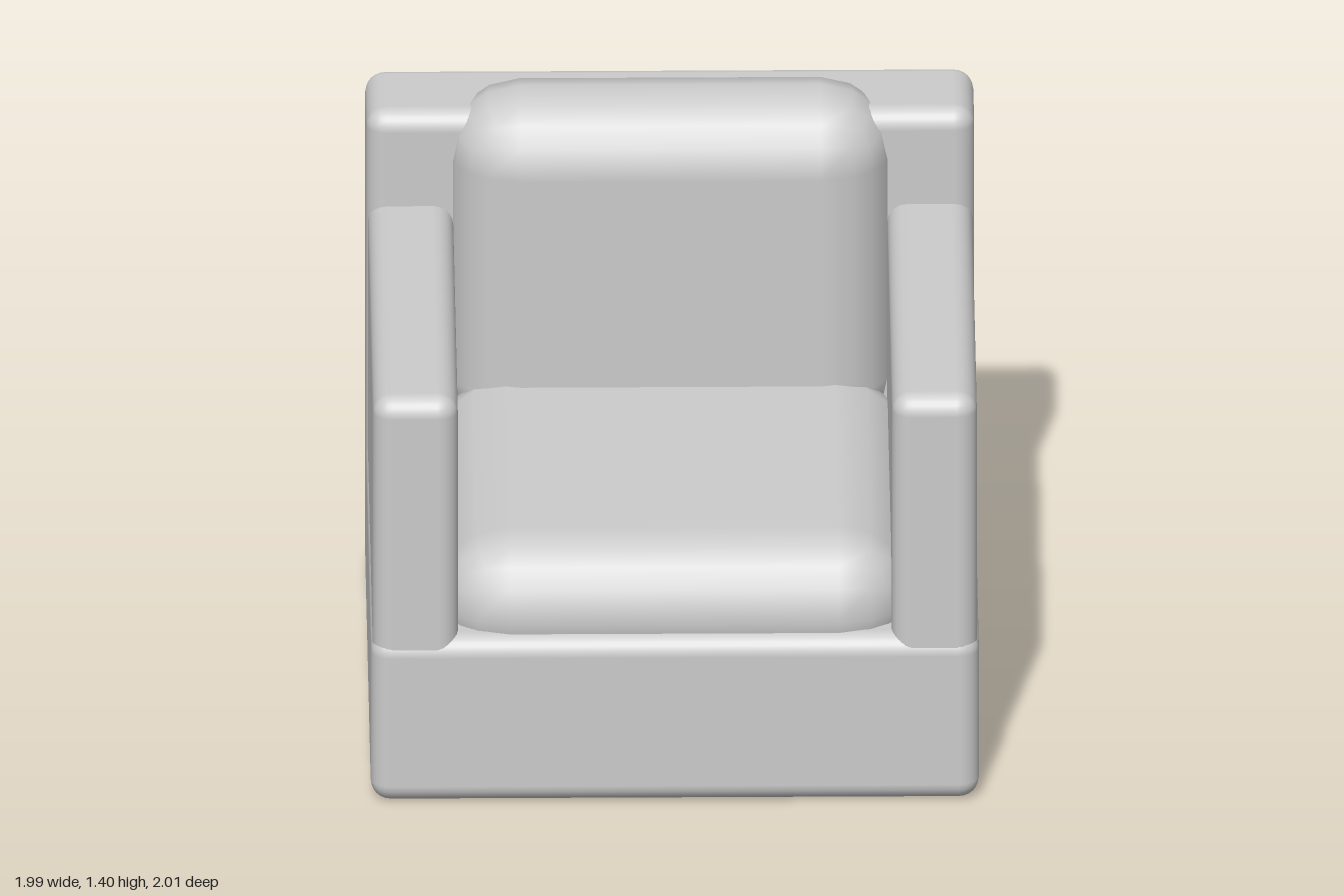
import * as THREE from 'three';
import { RoundedBoxGeometry } from 'three/addons/geometries/RoundedBoxGeometry.js';

const material = new THREE.MeshStandardMaterial({ color: 0xcccccc });

// Rounded block given by its [min, max] range on each axis
function block(name, [x0, x1], [y0, y1], [z0, z1], radius, segments) {
  const geometry = new RoundedBoxGeometry(x1 - x0, y1 - y0, z1 - z0, segments, radius);
  const mesh = new THREE.Mesh(geometry, material);
  mesh.name = name;
  mesh.position.set((x0 + x1) / 2, (y0 + y1) / 2, (z0 + z1) / 2);
  return mesh;
}

export function createModel() {
  const model = new THREE.Group();
  model.name = 'armchair';

  // Chair is built facing +z, then turned to its resting angle
  const chair = new THREE.Group();
  chair.name = 'chairBody';
  chair.rotation.y = THREE.MathUtils.degToRad(52);
  model.add(chair);

  // Frame
  chair.add(block('base', [-0.75, 0.75], [0, 0.45], [-0.6, 0.705], 0.05, 3));
  chair.add(block('backrest', [-0.75, 0.75], [0.005, 1.35], [-0.705, -0.42], 0.05, 3));

  // Arms, mirrored
  for (const [name, side] of [['leftArm', 1], ['rightArm', -1]]) {
    const arm = block(name, [0.535, 0.745], [0.2, 1.1], [-0.6, 0.7], 0.05, 3);
    arm.position.x *= side;
    chair.add(arm);
  }

  // Plump cushions, fully rounded across their thickness
  chair.add(block('seatCushion', [-0.585, 0.585], [0.3, 0.66], [-0.5, 0.675], 0.179, 2));
  chair.add(block('backCushion', [-0.55, 0.55], [0.45, 1.4], [-0.66, -0.3], 0.179, 2));

  return model;
}
